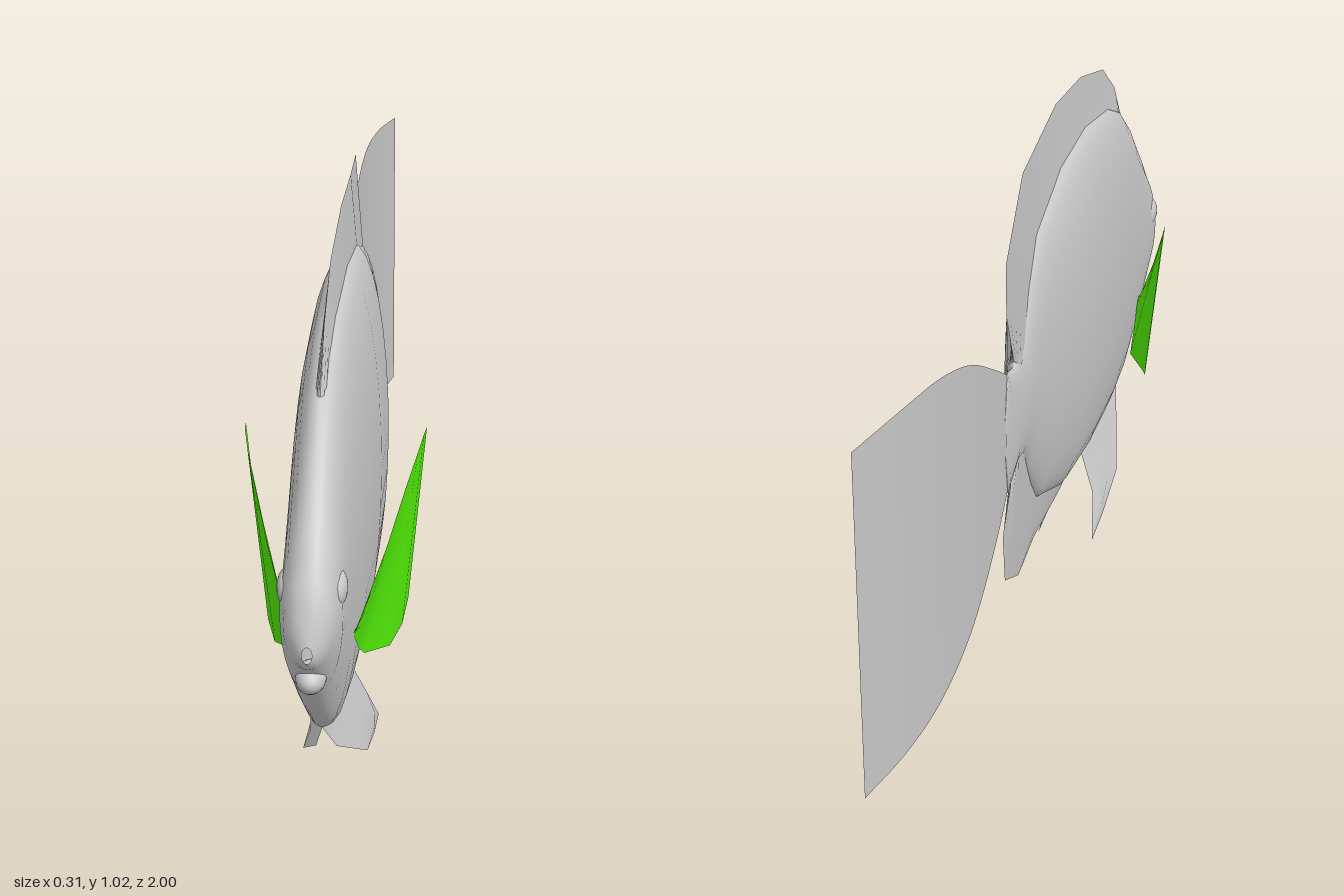
import * as THREE from 'three';

const grey = new THREE.MeshStandardMaterial({ color: 0xcccccc, side: THREE.DoubleSide });
const green = new THREE.MeshStandardMaterial({ color: 0x55f508, side: THREE.DoubleSide });

// Sideways sweep of the spine towards the tail
const spine = new THREE.CatmullRomCurve3([
  [0, 1], [0, 0.6], [0, 0.2], [-0.005, 0], [-0.03, -0.2], [-0.044, -0.32],
  [-0.05, -0.55], [-0.04, -0.75], [-0.025, -0.87], [0, -1],
].map(([x, z]) => new THREE.Vector3(x, 0, z))).getPoints(120);
function bend(z) {
  let i = 0;
  while (i < spine.length - 2 && spine[i + 1].z > z) i++;
  const a = spine[i], b = spine[i + 1];
  return a.x + (b.x - a.x) * THREE.MathUtils.clamp((z - a.z) / (b.z - a.z), 0, 1);
}

// Surface through rows of points; "closed" joins each row into a ring
function loft(name, rows, material, closed = false) {
  const n = rows[0].length, index = [];
  for (let i = 0; i < rows.length - 1; i++) {
    for (let j = 0; j < (closed ? n : n - 1); j++) {
      const k = (j + 1) % n;
      const a = i * n + j, b = (i + 1) * n + j, c = (i + 1) * n + k, d = i * n + k;
      index.push(a, b, c, a, c, d);
    }
  }
  const geo = new THREE.BufferGeometry();
  geo.setAttribute('position', new THREE.Float32BufferAttribute(rows.flat(2), 3));
  geo.setIndex(index);
  geo.computeVertexNormals();
  const mesh = new THREE.Mesh(geo, material);
  mesh.name = name;
  return mesh;
}

// Rows between two edge curves of equal length
function between(a, b, steps) {
  return Array.from({ length: steps + 1 }, (_, s) =>
    a.map((p, i) => p.map((v, k) => v + (b[i][k] - v) * s / steps)));
}

// Median fin: two sheets that meet at the outer edge and follow the spine
function medianFin(name, base, edge, thickness) {
  const group = new THREE.Group();
  group.name = name;
  for (const side of [-1, 1]) {
    const inner = base.map(([z, y]) => [bend(z) + side * thickness, y, z]);
    const outer = edge.map(([z, y]) => [bend(z), y, z]);
    group.add(loft(name + 'Side', between(inner, outer, 4), grey));
  }
  return group;
}

export function createModel() {
  const model = new THREE.Group();

  // Body sections: z, top, bottom, half width
  const sections = [
    [1.0, 0.462, 0.435, 0.008], [0.99, 0.51, 0.42, 0.025], [0.97, 0.56, 0.408, 0.04],
    [0.93, 0.62, 0.35, 0.05], [0.86, 0.70, 0.28, 0.052], [0.77, 0.79, 0.21, 0.056],
    [0.7, 0.84, 0.18, 0.06], [0.6, 0.88, 0.165, 0.065], [0.4, 0.91, 0.16, 0.071],
    [0.2, 0.895, 0.18, 0.07], [0, 0.84, 0.26, 0.052], [-0.1, 0.77, 0.37, 0.036],
    [-0.16, 0.69, 0.445, 0.026], [-0.22, 0.66, 0.46, 0.018], [-0.3, 0.685, 0.44, 0.008],
    [-0.32, 0.60, 0.53, 0.001],
  ];
  const segments = 32;
  model.add(loft('body', sections.map(([z, top, bottom, w]) =>
    Array.from({ length: segments }, (_, j) => {
      const a = j / segments * Math.PI * 2, c = Math.cos(a);
      return [bend(z) + w * Math.sign(c) * Math.abs(c) ** 0.95,
        (top + bottom) / 2 + Math.sin(a) * (top - bottom) / 2, z];
    })), grey, true));

  // Lower jaw and eyes
  const ball = new THREE.SphereGeometry(1, 20, 14);
  function bump(name, x, y, z, sx, sy, sz) {
    const mesh = new THREE.Mesh(ball, grey);
    mesh.name = name;
    mesh.position.set(x, y, z);
    mesh.scale.set(sx, sy, sz);
    model.add(mesh);
  }
  bump('lowerJaw', 0, 0.385, 0.94, 0.025, 0.025, 0.04);
  for (const s of [-1, 1]) bump(s > 0 ? 'leftEye' : 'rightEye', s * 0.04, 0.525, 0.91, 0.016, 0.03, 0.035);

  // Dorsal and anal fins
  model.add(medianFin('dorsalFin',
    [[0.77, 0.78], [0.68, 0.82], [0.58, 0.86], [0.4, 0.89], [0.2, 0.875], [0, 0.82], [-0.1, 0.745], [-0.15, 0.685], [-0.2, 0.655]],
    [[0.77, 0.79], [0.7, 0.89], [0.59, 0.965], [0.4, 1.01], [0.2, 1.02], [-0.1, 0.99], [-0.305, 0.9], [-0.305, 0.8], [-0.22, 0.67]], 0.012));
  model.add(medianFin('analFin',
    [[0.4, 0.18], [0.25, 0.19], [0.08, 0.24], [-0.05, 0.33], [-0.12, 0.41], [-0.17, 0.46], [-0.21, 0.47]],
    [[0.4, 0.165], [0.25, 0.145], [0.03, 0.155], [-0.17, 0.185], [-0.33, 0.27], [-0.345, 0.37], [-0.22, 0.46]], 0.01));

  // Tail fin: a thin waving fan
  const tailTop = new THREE.SplineCurve([[-0.3, 0.682], [-0.4, 0.74], [-0.55, 0.82], [-0.7, 0.865], [-0.85, 0.88], [-1, 0.88]]
    .map(p => new THREE.Vector2(...p))).getPoints(24);
  const tailRow = (flip) => tailTop.map(p => [bend(p.x), flip ? 1.128 - p.y : p.y, p.x]);
  model.add(loft('tailFin', between(tailRow(false), tailRow(true), 6), grey));

  // Paired fins
  const splay = y => 0.06 * THREE.MathUtils.clamp((0.19 - y) / 0.145, 0, 1) ** 1.15;
  const pelvicFront = [[0.77, 0.21], [0.7, 0.14], [0.54, 0.05], [0.4, 0.015], [0.3, 0.002]];
  const pelvicBack = [[0.76, 0.22], [0.62, 0.19], [0.4, 0.175], [0.37, 0.08], [0.3, 0.002]];
  const pectoralTop = [[0.055, 0.38, 0.76], [0.1, 0.5, 0.68], [0.128, 0.585, 0.62], [0.145, 0.63, 0.57], [0.153, 0.65, 0.535], [0.156, 0.65, 0.5]];
  const pectoralLow = [[0.05, 0.38, 0.76], [0.055, 0.325, 0.7], [0.06, 0.29, 0.645], [0.1, 0.28, 0.59], [0.118, 0.297, 0.535], [0.126, 0.33, 0.495]];
  for (const s of [-1, 1]) {
    const side = s > 0 ? 'left' : 'right';
    const mirror = rows => rows.map(r => r.map(([x, y, z]) => [s * x, y, z]));
    const pelvic = between(pelvicFront, pelvicBack, 6).map(r => r.map(([z, y]) => [splay(y), y, z]));
    model.add(loft(side + 'PelvicFin', mirror(pelvic), grey));
    model.add(loft(side + 'PectoralFin', mirror(between(pectoralLow, pectoralTop, 4)), green));
  }
  return model;
}
